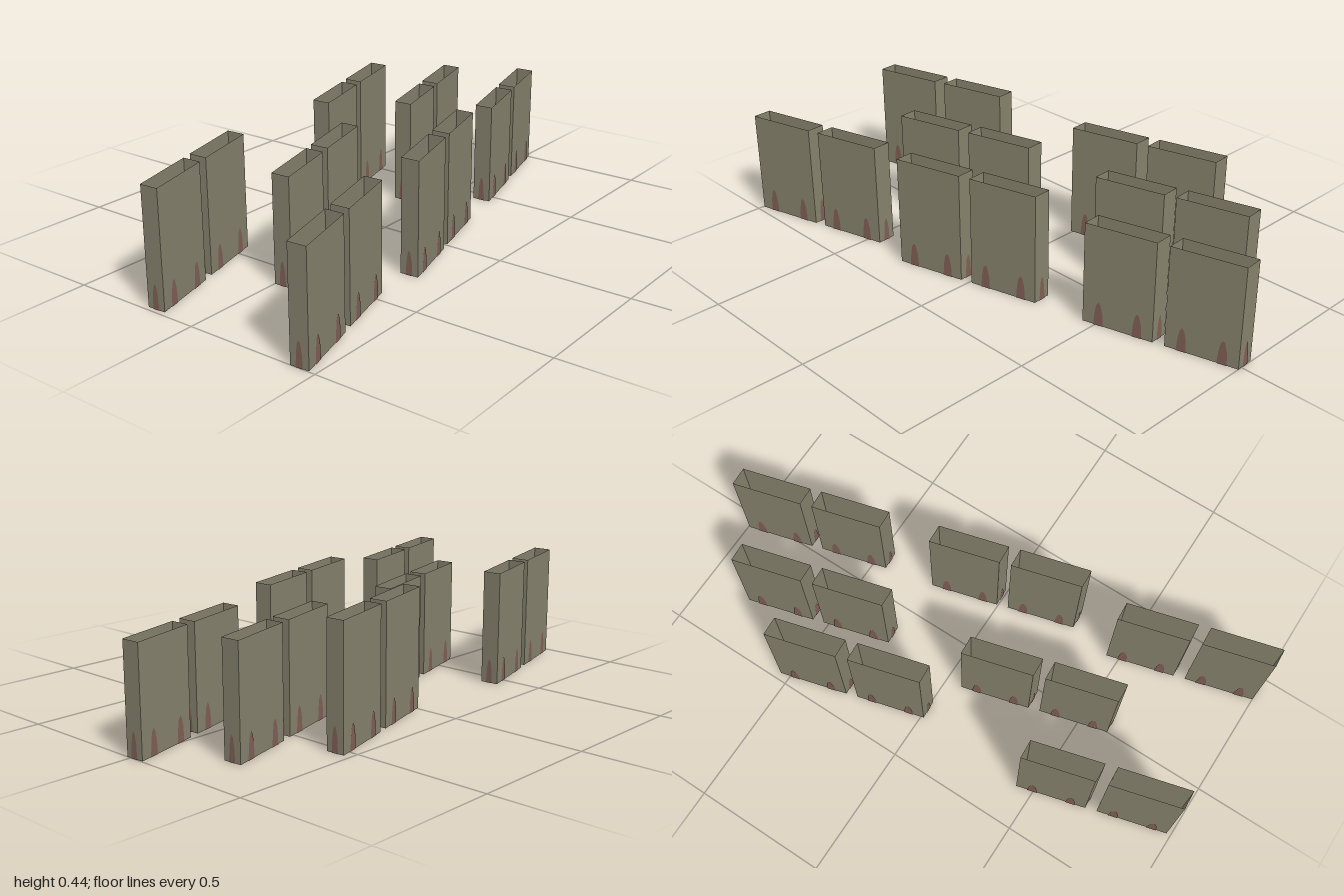
import * as THREE from 'three';

const concrete = new THREE.MeshStandardMaterial({ color: 0x85816c, side: THREE.DoubleSide });
concrete.name = 'grey olive wall';
const rust = new THREE.MeshStandardMaterial({ color: 0x7f5f55, side: THREE.DoubleSide });
rust.name = 'rust stain';

// Footprint of one slab, from its front left corner: [x, z], front edge first
const FOOTPRINT = [[0, 0], [0.253, -0.068], [0.249, -0.137], [-0.004, -0.069]];
const STEP = [0.294, -0.081]; // second slab of a pair

// Front left corner x, z and height of each pair
const PAIRS = [
  [-0.996, 0.475, 0.394],
  [-0.285, 0.353, 0.417],
  [0.453, 0.165, 0.38],
  [-0.606, 0.07, 0.394],
  [0.271, -0.083, 0.394],
  [-0.98, -0.137, 0.421],
  [-0.006, -0.256, 0.435],
];

// Pointed stain rising from the ground
function stainGeometry(width, height) {
  const s = new THREE.Shape();
  s.moveTo(-width / 2, 0);
  s.lineTo(width / 2, 0);
  s.lineTo(width * 0.42, height * 0.55);
  s.lineTo(width * 0.2, height * 0.9);
  s.lineTo(0, height);
  s.lineTo(-width * 0.25, height * 0.85);
  s.lineTo(-width * 0.4, height * 0.5);
  return new THREE.ShapeGeometry(s);
}
const wideStain = stainGeometry(0.036, 0.092);
const narrowStain = stainGeometry(0.026, 0.092);

// Open-ended slab: four thin walls, no top or bottom
function makeSlab(height) {
  const slab = new THREE.Group();
  slab.name = 'slab';
  const up = new THREE.Vector3(0, 1, 0);
  const names = ['frontWall', 'leftWall', 'backWall', 'rightWall'];
  FOOTPRINT.forEach(([ax, az], i) => {
    const [bx, bz] = FOOTPRINT[(i + 1) % 4];
    const along = new THREE.Vector3(bx - ax, 0, bz - az);
    const length = along.length();
    along.normalize();
    const normal = along.clone().cross(up);

    const wall = new THREE.Group();
    wall.name = names[i];
    wall.quaternion.setFromRotationMatrix(new THREE.Matrix4().makeBasis(along, up, normal));
    wall.position.set(ax, 0, az);

    const panel = new THREE.Mesh(new THREE.PlaneGeometry(length, height), concrete);
    panel.name = 'panel';
    panel.position.set(length / 2, height / 2, 0);
    wall.add(panel);

    // Two stains on the broad walls, one on the narrow ones
    const broad = i % 2 === 0;
    for (const t of broad ? [0.23, 0.78] : [0.5]) {
      const stain = new THREE.Mesh(broad ? wideStain : narrowStain, rust);
      stain.name = 'stain';
      stain.position.set(length * t, 0, 0.002);
      wall.add(stain);
    }
    slab.add(wall);
  });
  return slab;
}

export function createModel() {
  const model = new THREE.Group();
  model.name = 'wallSlabs';
  for (const [x, z, height] of PAIRS) {
    const pair = new THREE.Group();
    pair.name = 'slabPair';
    for (let i = 0; i < 2; i++) {
      const slab = makeSlab(height);
      slab.position.set(i * STEP[0], 0, i * STEP[1]);
      pair.add(slab);
    }
    pair.position.set(x, 0, z);
    model.add(pair);
  }
  return model;
}
